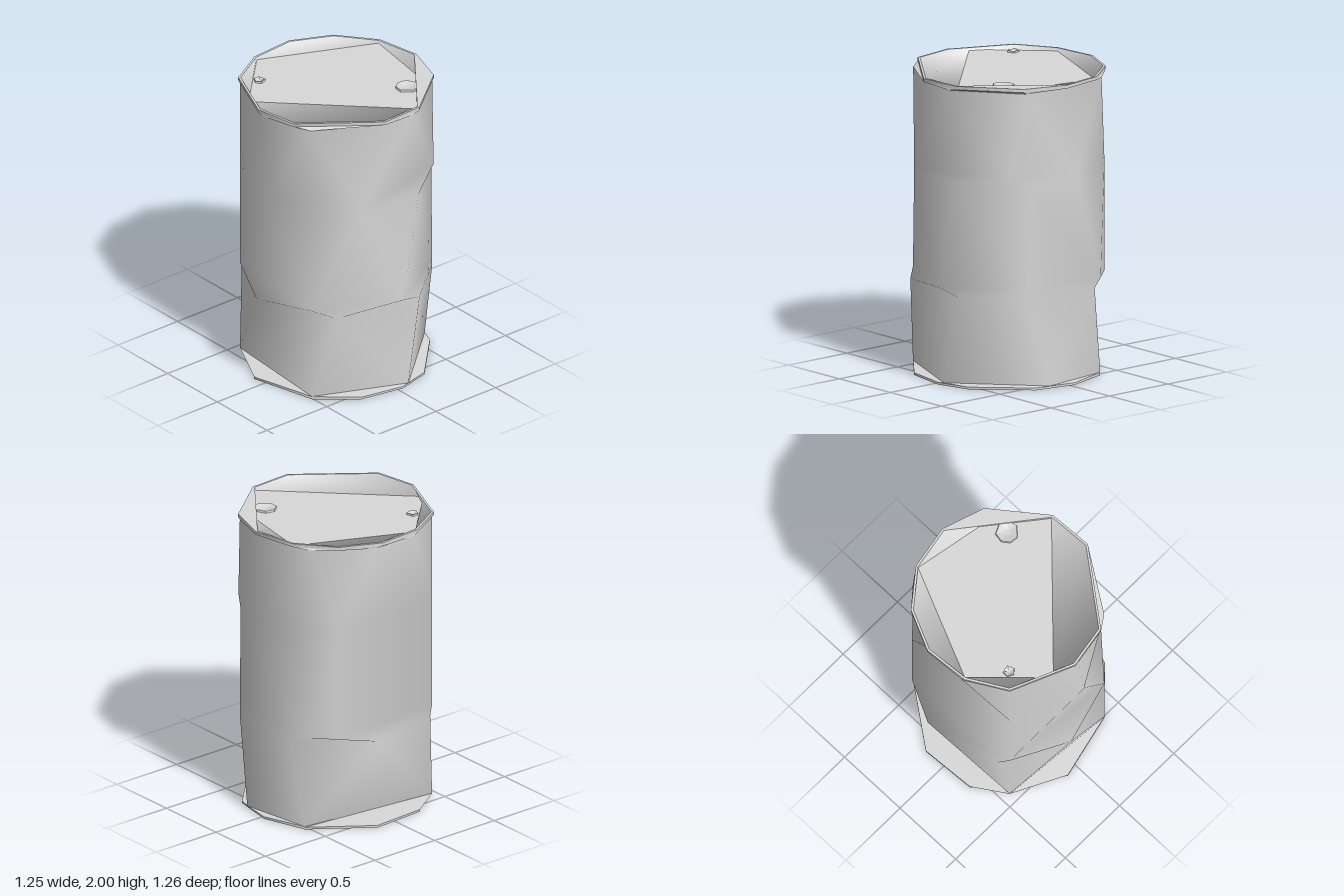
import * as THREE from 'three';

const R = 0.625;
const steel = new THREE.MeshStandardMaterial({ color: 0xd8d8d8, side: THREE.DoubleSide });
steel.name = 'pale steel';

// Ring of points sorted by bearing (degrees, 0 = +x, 90 = +z) around a centre
const sorted = (pts) => pts.sort((p, q) => p.a - q.a);
function ring(y, angles, r = R, cx = 0, cz = 0) {
  return sorted(angles.map((deg) => {
    const a = (deg + 360) % 360, t = THREE.MathUtils.degToRad(a);
    return { a, v: new THREE.Vector3(cx + r * Math.cos(t), y, cz + r * Math.sin(t)) };
  }));
}
function outline(y, xz, scale = 1) {
  return sorted(xz.map(([x, z]) => ({
    a: (THREE.MathUtils.radToDeg(Math.atan2(z, x)) + 360) % 360,
    v: new THREE.Vector3(x * scale, y, z * scale),
  })));
}

// Triangles joining two rings that may have different corners
function skin(lower, upper) {
  const n = lower.length, m = upper.length, out = [];
  const at = (k, list) => (k < list.length ? list[k].a : list[k - list.length].a + 360);
  let i = 0, j = 0;
  while (i < n || j < m) {
    const A = lower[i % n].v, B = upper[j % m].v;
    if (j >= m || (i < n && at(i + 1, lower) <= at(j + 1, upper))) {
      out.push(A, B, lower[++i % n].v);
    } else {
      out.push(A, B, upper[++j % m].v);
    }
  }
  return out;
}
function cap(pts, up) {
  const out = [];
  for (let i = 1; i < pts.length - 1; i++) {
    const [p, q] = up ? [i + 1, i] : [i, i + 1];
    out.push(pts[0].v, pts[p].v, pts[q].v);
  }
  return out;
}
function loft(rings) {
  return rings.slice(1).flatMap((r, i) => skin(rings[i], r));
}

// Flat facets by default; a normal rule gives the smooth shading of a round drum
const outward = (v) => new THREE.Vector3(v.x, 0, v.z);
const inward = (v) => new THREE.Vector3(-v.x, 0.4, -v.z);
function part(name, tris, rule) {
  const geo = new THREE.BufferGeometry().setFromPoints(tris);
  if (rule) {
    const normals = tris.flatMap((v) => rule(v).normalize().toArray());
    geo.setAttribute('normal', new THREE.Float32BufferAttribute(normals, 3));
  } else geo.computeVertexNormals();
  const mesh = new THREE.Mesh(geo, steel);
  mesh.name = name;
  return mesh;
}

export function createModel() {
  const barrel = new THREE.Group();
  barrel.name = 'dentedBarrel';

  // Dented wall: each ring keeps only a few corners of the round drum
  const body = [
    ring(0.02, [-8, 54.5, 135, 238, 285]),
    ring(0.6, [-19, 40, 95.5, 142, 192, 247, 300]),
    ring(0.645, [-4, 54.5, 135, 219, 237, 299]),
    ring(1.36, [-18, 25, 84, 135, 219, 265, 298]),
    ring(1.4, [25, 84, 135, 219, 265, 310]),
    ring(1.965, [-12, 55, 90, 135, 165, 195, 235, 300]),
  ];
  barrel.add(part('wall', loft(body), outward));

  // Bottom plate with its thin flange
  const base = [-25, -3, 25, 54.5, 98, 159, 194, 238, 267, 294];
  const foot = ring(0, base), footTop = ring(0.015, base);
  barrel.add(part('bottomFlange', loft([foot, footTop]), outward));
  barrel.add(part('bottomFlangeTop', skin(footTop, body[0])));
  barrel.add(part('bottomPlate', cap(foot, false)));

  // Top rim
  const rimXZ = [[0.04, -0.635], [-0.26, -0.58], [-0.5, -0.39], [-0.625, -0.12], [-0.6, 0.19],
    [-0.45, 0.45], [-0.03, 0.63], [0.26, 0.58], [0.62, 0.11], [0.605, -0.19]];
  const outerXZ = [...rimXZ, [0.33, -0.54]];
  const rimLow = outline(1.978, outerXZ), rimHigh = outline(2, outerXZ);
  const rimInner = outline(2, rimXZ, 0.975);
  barrel.add(part('rimUnderside', skin(body[5], rimLow)));
  barrel.add(part('rimEdge', skin(rimLow, rimHigh), outward));
  barrel.add(part('rimTop', skin(rimHigh, rimInner)));

  // Sunken lid and the sloping wall down to it
  const lid = outline(1.98, [[-0.255, -0.565], [0.22, -0.48], [0.587, -0.186], [-0.16, 0.56],
    [-0.26, 0.51], [-0.585, 0.18]]);
  barrel.add(part('lidSlope', skin(rimInner, lid), inward));
  barrel.add(part('lid', cap(lid, true)));

  // Two hollow bungs, almost flush with the lid
  const bungs = [
    ['largeBung', 0.32, -0.325, 0.078, [10, 75, 120, 165, 215, 275, 325]],
    ['smallBung', -0.355, 0.35, 0.04, [20, 80, 150, 215, 300]],
  ];
  for (const [name, x, z, r, angles] of bungs) {
    const rings = [[1.98, 1], [1.992, 0.95], [1.992, 0.85], [1.982, 0.3]]
      .map(([y, s]) => ring(y, angles, r * s, x, z));
    barrel.add(part(name, [...loft(rings), ...cap(rings[3], true)]));
  }
  return barrel;
}
